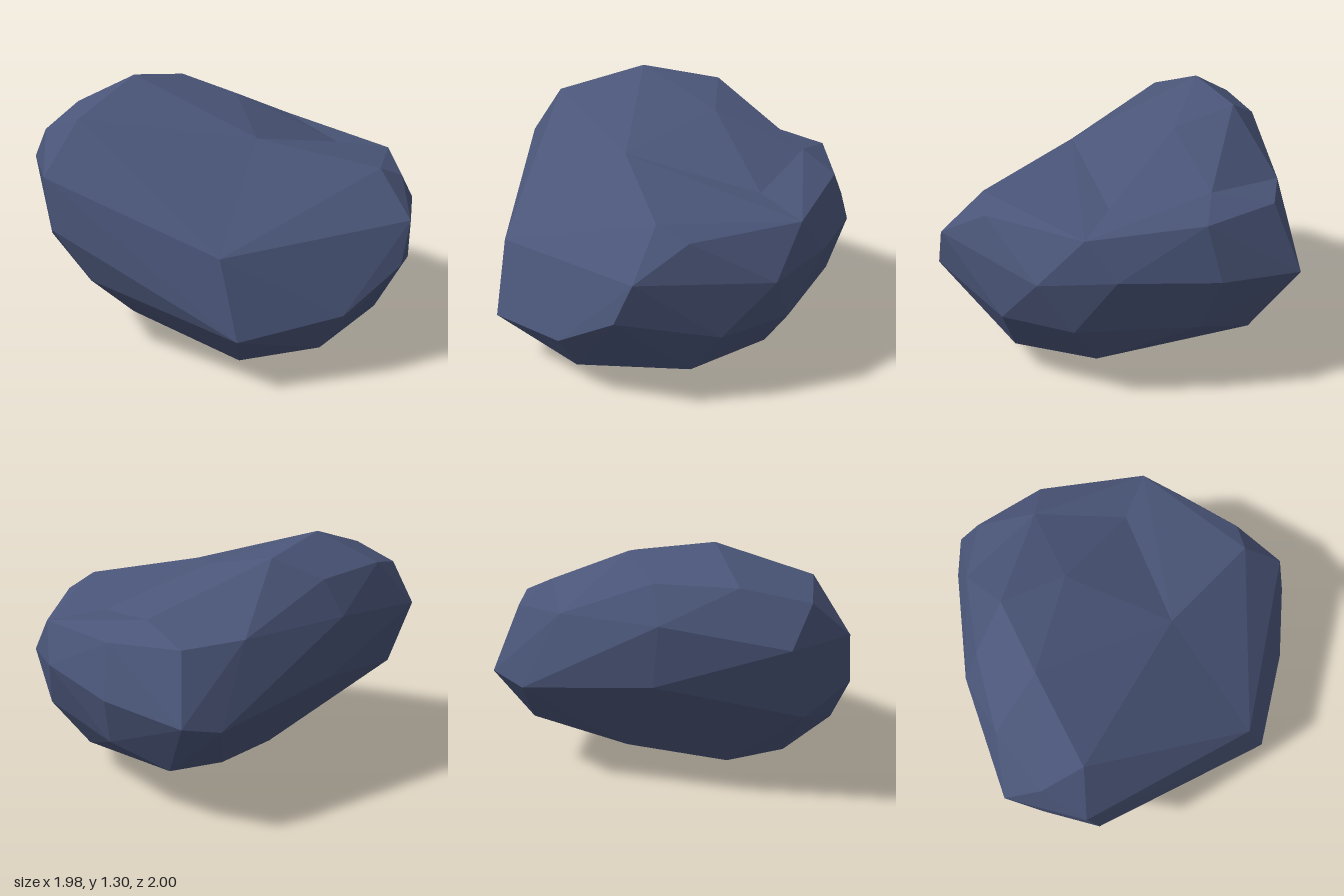
import * as THREE from 'three';
import { ConvexGeometry } from 'three/addons/geometries/ConvexGeometry.js';

const points = (rows) => rows.map((p) => new THREE.Vector3(...p));

// Underside of the boulder, resting on the ground
const foot = points([
  [0.18, 0, 0.44], [-0.24, 0.03, 0.18], [0.57, 0.035, 0.22], [0.44, 0.05, -0.18],
  [0.16, 0.06, 0.76], [0.54, 0.115, 0.68], [-0.43, 0.14, 0.42], [0.8, 0.14, 0.18],
  [0.68, 0.155, -0.26], [-0.05, 0.12, -0.32], [0.13, 0.28, -0.78],
]);

// Widest belt around the middle
const belt = points([
  [0.18, 0.26, 1], [0.09, 0.63, 0.92], [0.65, 0.33, 0.79], [0.91, 0.52, 0.59],
  [0.965, 0.39, 0.09], [0.985, 0.64, -0.17], [0.87, 0.39, -0.29], [0.8, 0.68, -0.5],
  [0.44, 0.38, -0.71], [0.43, 0.64, -0.82], [0.025, 0.6, -1], [-0.14, 0.55, -0.89],
  [-0.59, 0.64, -0.35], [-0.88, 0.51, 0.31], [-0.6, 0.37, 0.6], [-0.78, 0.62, 0.6],
]);

// Points along the hollow where the crowns meet
const [valleyFront, valleySide, valleyBack, backNotch, sideRim] = points([
  [0.19, 1.05, 0.31], [0.57, 0.91, -0.26], [0.26, 0.99, -0.63], [-0.22, 0.94, -0.7], [0.85, 0.865, -0.35],
]);

const crowns = {
  // Tall hump on the -x side
  highLobe: [valleyFront, valleySide, valleyBack, backNotch, ...points([
    [-0.49, 1.3, 0], [-0.3, 1.245, -0.37], [0.02, 1.17, -0.23], [-0.68, 1.15, 0.43],
    [-0.8, 1.15, 0], [-0.55, 1.14, -0.33], [-0.88, 1.07, 0.33], [-0.99, 0.89, 0.18],
    [-0.83, 0.88, 0.56], [-0.65, 0.96, -0.34],
  ])],
  // Lower shoulder at the front
  frontShoulder: [valleyFront, valleySide, sideRim, ...points([
    [0.8, 0.93, 0.35], [0.91, 0.865, 0.23], [0.95, 0.72, 0.51],
  ])],
  // Lower rim at the back
  backShoulder: [valleySide, valleyBack, backNotch, sideRim, ...points([
    [0.43, 0.9, -0.73], [0.05, 0.925, -0.85],
  ])],
};

export function createModel() {
  const group = new THREE.Group();
  group.name = 'boulder';
  const stone = new THREE.MeshStandardMaterial({ color: 0x4a5578 });
  stone.name = 'slate blue stone';

  // Each lobe is a faceted hull; together they leave the hollow between the crowns
  for (const [name, crown] of Object.entries(crowns)) {
    const lobe = new THREE.Mesh(new ConvexGeometry([...foot, ...belt, ...crown]), stone);
    lobe.name = name;
    group.add(lobe);
  }
  return group;
}
